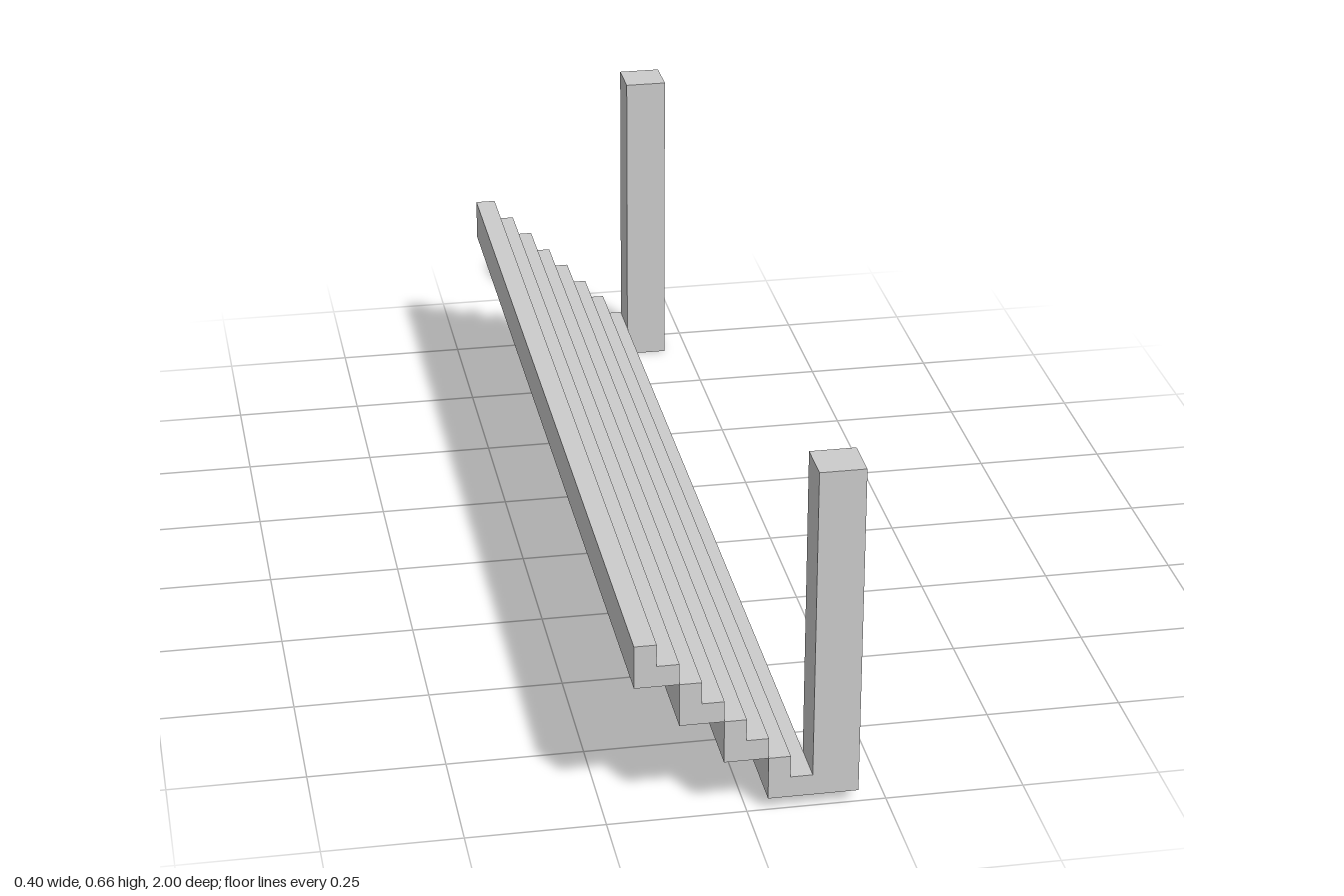
import * as THREE from 'three';

export function createModel() {
  const model = new THREE.Group();
  const material = new THREE.MeshStandardMaterial({ color: 0xcccccc, flatShading: true });

  // Stair blocks: one L-shaped section, a riser with a lower tread in front of it
  const run = 0.0795, rise = 0.082;
  const section = new THREE.Shape([
    [0, 0], [run, 0], [run, 0.04], [run / 2, 0.04], [run / 2, rise], [0, rise],
  ].map(([x, y]) => new THREE.Vector2(x, y)));
  const stepGeometry = new THREE.ExtrudeGeometry(section, { depth: 2, bevelEnabled: false });
  const stairs = new THREE.Group();
  stairs.name = 'stairs';
  for (let i = 0; i < 4; i++) {
    const step = new THREE.Mesh(stepGeometry, material);
    step.name = `doubleStep${i + 1}`;
    step.position.set(0.117 - run * (i + 1), 0.022 + rise * i, -1);
    stairs.add(step);
  }
  model.add(stairs);

  // Square end posts; the back one sits slightly lower
  const postHeight = 0.633, postWidth = 0.083;
  const postGeometry = new THREE.BoxGeometry(postWidth, postHeight, postWidth);
  for (const [name, bottom, z] of [['frontPost', 0.022, 0.9585], ['backPost', 0, -0.954]]) {
    const post = new THREE.Mesh(postGeometry, material);
    post.name = name;
    post.position.set(0.1585, bottom + postHeight / 2, z);
    model.add(post);
  }
  return model;
}
